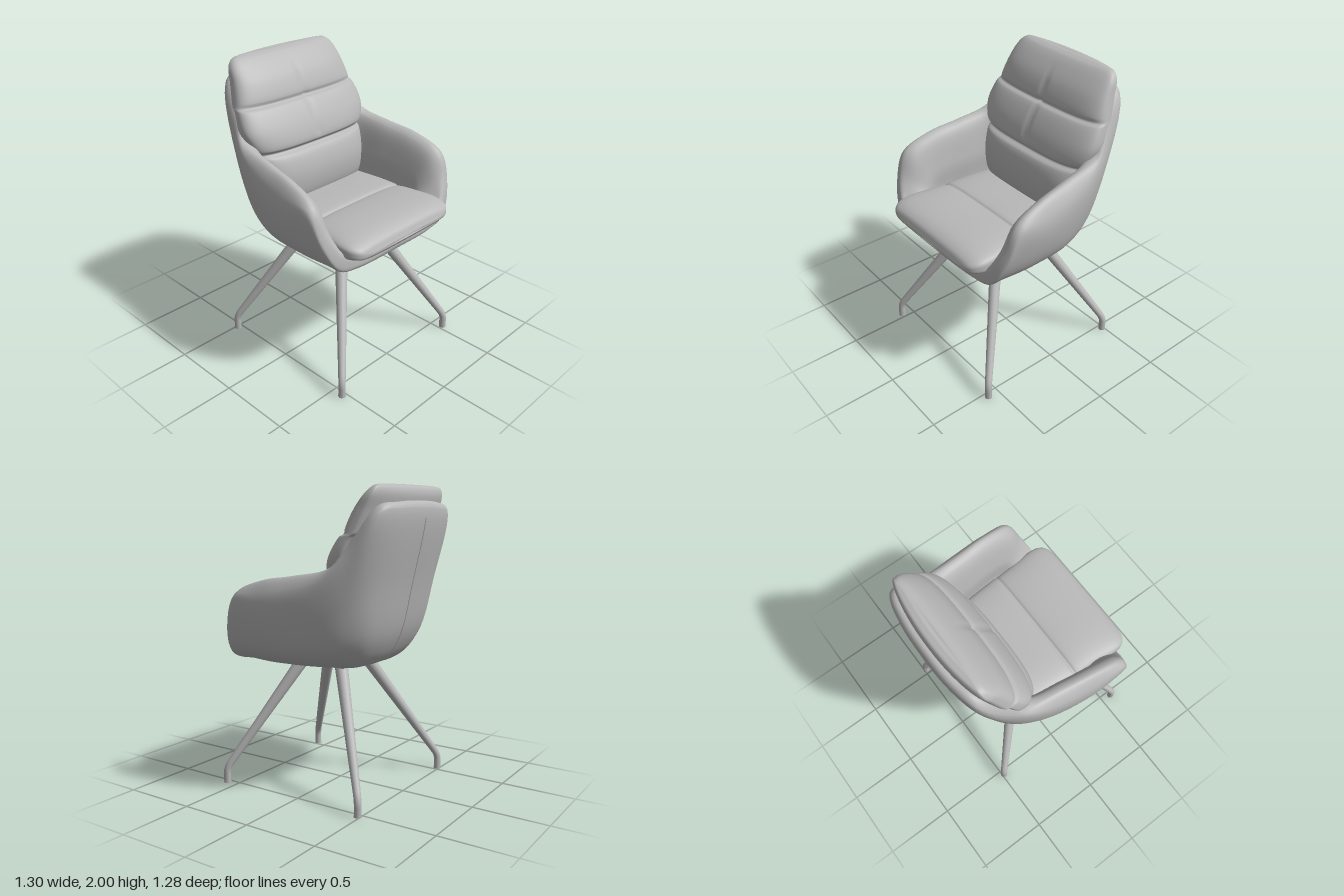
import * as THREE from 'three';

const V = (x, y, z) => new THREE.Vector3(x, y, z);

// Closed smooth surface through equal-length rings; faces are turned outward
function loft(rings) {
  const n = rings[0].length, pos = [], idx = [];
  rings.forEach(r => r.forEach(p => pos.push(p.x, p.y, p.z)));
  const flat = rings.flat();
  let volume = 0;
  for (let j = 0; j < rings.length - 1; j++) {
    for (let i = 0; i < n; i++) {
      const a = j * n + i, b = j * n + (i + 1) % n, c = a + n, d = b + n;
      idx.push(a, b, d, a, d, c);
      volume += flat[a].dot(flat[b].clone().cross(flat[d])) + flat[a].dot(flat[d].clone().cross(flat[c]));
    }
  }
  if (volume < 0) idx.reverse();
  const g = new THREE.BufferGeometry();
  g.setAttribute('position', new THREE.Float32BufferAttribute(pos, 3));
  g.setIndex(idx);
  g.computeVertexNormals();
  return g;
}

// Half rows of the tub, from front centre round the left arm to back centre
const RIM = [[0, .95, .545], [.3, .95, .545], [.46, 1, .53], [.555, 1.15, .48], [.59, 1.33, .4], [.585, 1.415, .2],
  [.56, 1.45, -.02], [.53, 1.51, -.28], [.495, 1.64, -.37], [.41, 1.87, -.54], [.25, 1.895, -.59], [0, 1.905, -.605]];
const UPPER = [[0, .91, .56], [.32, .91, .555], [.5, .95, .535], [.6, 1.12, .482], [.637, 1.3, .395], [.643, 1.32, .2],
  [.622, 1.36, -.02], [.585, 1.42, -.23], [.53, 1.56, -.39], [.43, 1.83, -.57], [.25, 1.855, -.62], [0, 1.86, -.635]];
const MIDDLE = [[0, .885, .555], [.34, .885, .55], [.5, .91, .53], [.585, 1.02, .485], [.632, 1.15, .37], [.638, 1.15, .18],
  [.615, 1.15, -.02], [.575, 1.18, -.2], [.51, 1.25, -.36], [.41, 1.4, -.49], [.24, 1.4, -.54], [0, 1.4, -.55]];
const LOWER = [[0, .865, .54], [.34, .865, .53], [.46, .88, .505], [.52, .92, .44], [.56, .95, .33], [.56, .95, .16],
  [.545, .95, -.02], [.5, .96, -.18], [.44, .98, -.3], [.35, 1.02, -.405], [.2, 1.02, -.445], [0, 1.02, -.45]];

function tubProfiles(segments) {
  const derive = (row, f) => row.map(([x, y, z]) => f(x, y, z));
  const rows = [
    derive(LOWER, () => [0, .86, .05]),
    derive(LOWER, (x, y, z) => [x * .73, .86, z * .77 + .03]),
    LOWER, MIDDLE, UPPER, RIM,
    derive(RIM, (x, y, z) => [x * .9, y - .03, z * .9 + .015]),
    derive(RIM, (x, y, z) => [x * .79, .95 + (y - .95) * .5, z * .75]),
    derive(RIM, (x, y, z) => [x * .73, .94, z * .56]),
    derive(RIM, () => [0, .94, .05]),
  ].map(half => {
    const pts = half.map(p => V(...p));
    const other = half.slice(1, -1).reverse().map(([x, y, z]) => V(-x, y, z));
    return new THREE.CatmullRomCurve3([...pts, ...other], true);
  });
  const profiles = [];
  for (let i = 0; i < segments; i++) {
    profiles.push(new THREE.CatmullRomCurve3(rows.map(c => c.getPoint(i / segments))));
  }
  return profiles;
}

// Pillow from stations [position, halfWidth, faceA, faceB]; place() maps to space
function pillow(stations, place, steps, power) {
  const all = [stations[0], ...stations, stations[stations.length - 1]].map(s => [...s]);
  for (const s of [all[0], all[all.length - 1]]) {
    s[1] = 0;
    s[2] = s[3] = (s[2] + s[3]) / 2;
  }
  const curveA = new THREE.CatmullRomCurve3(all.map(s => V(s[1], s[0], s[2])));
  const curveB = new THREE.CatmullRomCurve3(all.map(s => V(s[1], s[0], s[3])));
  const rings = [], n = 128;
  for (let j = 0; j <= steps; j++) {
    const a = curveA.getPoint(j / steps), b = curveB.getPoint(j / steps), ring = [];
    for (let i = 0; i < n; i++) {
      const t = i / n * Math.PI * 2, c = Math.cos(t), s = Math.sin(t);
      const r = (Math.abs(c) ** power + Math.abs(s) ** power) ** (-1 / power);
      const k = (s * r + 1) / 2;
      ring.push(place(a.x * c * r, THREE.MathUtils.lerp(b.y, a.y, k), THREE.MathUtils.lerp(b.z, a.z, k), s));
    }
    rings.push(ring);
  }
  return loft(rings);
}

// Leg: straight taper, tight bend, upright foot
function legGeometry() {
  const h = (r, y) => V(r, y, r);
  const path = new THREE.CurvePath();
  path.add(new THREE.LineCurve3(h(.155, .845), h(.512, .145)));
  path.add(new THREE.QuadraticBezierCurve3(h(.512, .145), h(.533, .105), h(.533, .07)));
  path.add(new THREE.LineCurve3(h(.533, .07), h(.533, .002)));
  const n = 48, g = new THREE.TubeGeometry(path, n, 1, 16), p = g.attributes.position;
  for (let i = 0; i <= n; i++) {
    const centre = path.getPointAt(i / n);
    const radius = THREE.MathUtils.lerp(.044, .024, Math.min(1, i / n / .88));
    for (let k = 0; k <= 16; k++) {
      const q = V().fromBufferAttribute(p, i * 17 + k).sub(centre).multiplyScalar(radius).add(centre);
      p.setXYZ(i * 17 + k, q.x, q.y, q.z);
    }
  }
  return g;
}

export function createModel() {
  const model = new THREE.Group();
  const grey = new THREE.MeshStandardMaterial({ color: 0xb8b8b8 });
  grey.name = 'grey';
  const add = (name, geometry, parent = model) => {
    const m = new THREE.Mesh(geometry, grey);
    m.name = name;
    parent.add(m);
    return m;
  };

  // Upholstered tub: base, arms and back in one skin
  const segments = 132, steps = 72, profiles = tubProfiles(segments), rings = [];
  for (let j = 0; j <= steps; j++) rings.push(profiles.map(c => c.getPoint(j / steps)));
  add('tubShell', loft(rings));

  // Piped seam down the middle of the back
  const seam = [];
  for (let t = 1.2; t <= 3.85; t += .1) seam.push(profiles[segments / 2].getPoint(t / 9));
  add('backSeam', new THREE.TubeGeometry(new THREE.CatmullRomCurve3(seam), 48, .005, 6));

  // Seat cushion with one cross crease
  add('seatCushion', pillow([
    [-.34, .34, 1.05, .97], [-.3, .4, 1.09, .94], [-.1, .43, 1.1, .93], [.1, .447, 1.098, .93],
    [.17, .452, 1.09, .93], [.19, .452, 1.08, .93], [.21, .452, 1.09, .93], [.35, .458, 1.105, .93],
    [.5, .472, 1.1, .94], [.57, .46, 1.085, .95], [.615, .425, 1.06, .962], [.637, .35, 1.02, .985],
  ], (x, y, s) => V(x, s, y).set(x, s, y), 110, 3.6));

  // Back cushion: three padded lobes, bowed behind, with a shallow centre seam
  add('backCushion', pillow([
    [1.04, .38, -.17, -.3], [1.08, .42, -.11, -.34], [1.25, .44, -.085, -.38], [1.39, .455, -.125, -.41],
    [1.42, .468, -.165, -.43], [1.45, .488, -.148, -.44], [1.56, .525, -.178, -.46], [1.69, .508, -.258, -.5],
    [1.71, .502, -.292, -.52], [1.74, .495, -.29, -.54], [1.85, .47, -.335, -.575], [1.94, .447, -.405, -.592],
    [1.985, .41, -.455, -.58], [1.999, .35, -.49, -.55],
  ], (x, y, z, side) => {
    const fade = THREE.MathUtils.smoothstep(y, 1.43, 1.5) * (1 - THREE.MathUtils.smoothstep(y, 1.8, 1.97));
    const groove = side > 0 ? .012 * fade * Math.exp(-((x / .016) ** 2)) : 0;
    const bow = side < 0 ? -side * .22 * x * x : 0;
    return V(x, y, z - groove + bow);
  }, 120, 3.1));

  // Swivel base: plate and four splayed legs
  const base = new THREE.Group();
  base.name = 'base';
  base.position.z = .048;
  model.add(base);
  add('mountingPlate', new THREE.BoxGeometry(.45, .032, .45), base).position.y = .846;
  const leg = legGeometry(), foot = new THREE.CylinderGeometry(.0245, .0245, .012, 16);
  for (let i = 0; i < 4; i++) {
    const g = new THREE.Group();
    g.name = 'leg' + (i + 1);
    g.rotation.y = i * Math.PI / 2;
    add('legTube', leg, g);
    add('footPad', foot, g).position.set(.533, .006, .533);
    base.add(g);
  }
  return model;
}
